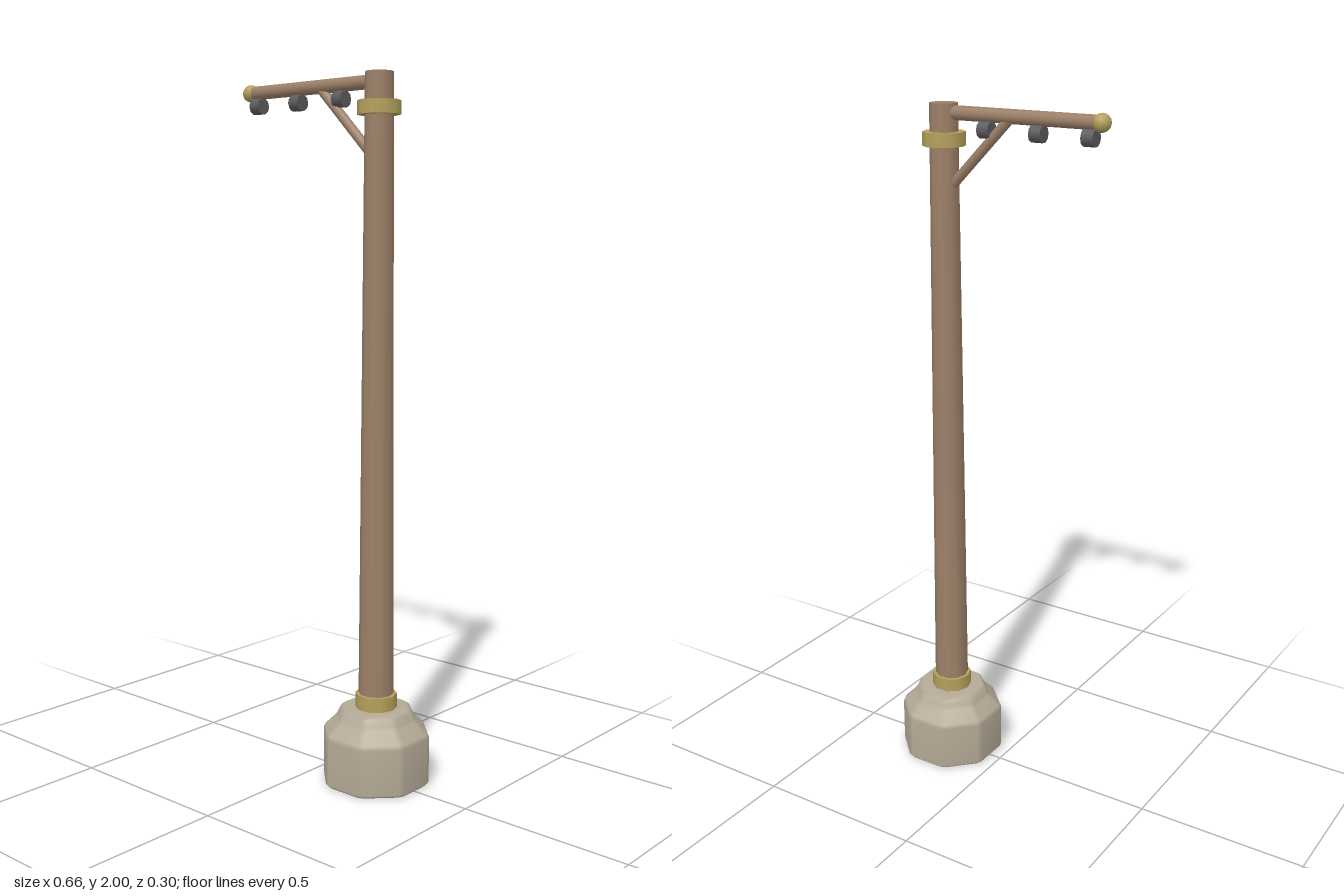
import * as THREE from 'three';

const mat = (name, color) => {
  const m = new THREE.MeshStandardMaterial({ color });
  m.name = name;
  return m;
};

// Octagonal block with softened corners, lofted from [half width, height] rows
function octagonBlock(rows, chamfer) {
  const pos = [], idx = [], n = 16;
  for (const [a, y] of rows) {
    const half = a * Math.tan(Math.PI / 8) - chamfer;
    for (let i = 0; i < 8; i++) {
      const c = Math.cos(i * Math.PI / 4), s = Math.sin(i * Math.PI / 4);
      for (const t of [-half, half]) pos.push(a * c - t * s, y, a * s + t * c);
    }
  }
  for (let r = 0; r < rows.length - 1; r++) {
    for (let i = 0; i < n; i++) {
      const a = r * n + i, b = r * n + (i + 1) % n;
      idx.push(a, a + n, b, b, a + n, b + n);
    }
  }
  // Closed bottom and top
  const top = (rows.length - 1) * n;
  for (let i = 1; i < n - 1; i++) {
    idx.push(0, i, i + 1, top, top + i + 1, top + i);
  }
  const g = new THREE.BufferGeometry();
  g.setAttribute('position', new THREE.Float32BufferAttribute(pos, 3));
  g.setIndex(idx);
  g.computeVertexNormals();
  return g;
}

export function createModel() {
  const group = new THREE.Group();
  group.name = 'utilityPole';
  const wood = mat('wood', 0x9c8068);
  const brass = mat('brass', 0xb5a05c);
  const stone = mat('stone', 0xb5aa97);
  const iron = mat('dark grey', 0x5c5c60);
  const poleX = 0.18, armY = 1.975;

  const add = (name, geometry, material, x, y, z = 0) => {
    const m = new THREE.Mesh(geometry, material);
    m.name = name;
    m.position.set(x, y, z);
    group.add(m);
    return m;
  };
  // Upright cylinder with a corner facing +x
  const upright = (rTop, rBottom, h) =>
    new THREE.CylinderGeometry(rTop, rBottom, h, 10, 1, false, Math.PI / 2);

  // Stone foot
  add('base', octagonBlock([
    [0.141, 0], [0.148, 0.008], [0.148, 0.14], [0.143, 0.152],
    [0.114, 0.183], [0.107, 0.195], [0.1, 0.212], [0.092, 0.218]
  ], 0.01), stone, poleX, 0);

  // Tapered pole and its two collars
  add('pole', upright(0.039, 0.051, 1.8), wood, poleX, 1.1);
  add('lowerCollar', upright(0.06, 0.06, 0.046), brass, poleX, 0.237);
  add('upperCollar', upright(0.06, 0.06, 0.038), brass, poleX, 1.905);

  // Cross arm with ball end
  const arm = add('arm', new THREE.CylinderGeometry(0.0195, 0.0195, 0.47, 8), wood, -0.055, armY);
  arm.rotation.z = Math.PI / 2;
  add('armBall', new THREE.SphereGeometry(0.025, 10, 8), brass, -0.305, armY);

  // Diagonal brace between pole and arm
  const from = new THREE.Vector3(0.165, 1.77, 0), to = new THREE.Vector3(-0.027, 1.965, 0);
  const dir = to.clone().sub(from);
  const brace = add('brace', new THREE.CylinderGeometry(0.0145, 0.0145, dir.length(), 8), wood, 0, 0);
  brace.position.copy(from).add(to).multiplyScalar(0.5);
  brace.quaternion.setFromUnitVectors(new THREE.Vector3(0, 1, 0), dir.normalize());

  // Small drums hanging below the arm
  for (const x of [-0.273, -0.118, 0.043]) {
    const drum = add('hangingDrum', new THREE.CylinderGeometry(0.0235, 0.0235, 0.035, 10), iron, x, 1.936);
    drum.rotation.z = Math.PI / 2;
  }
  return group;
}
